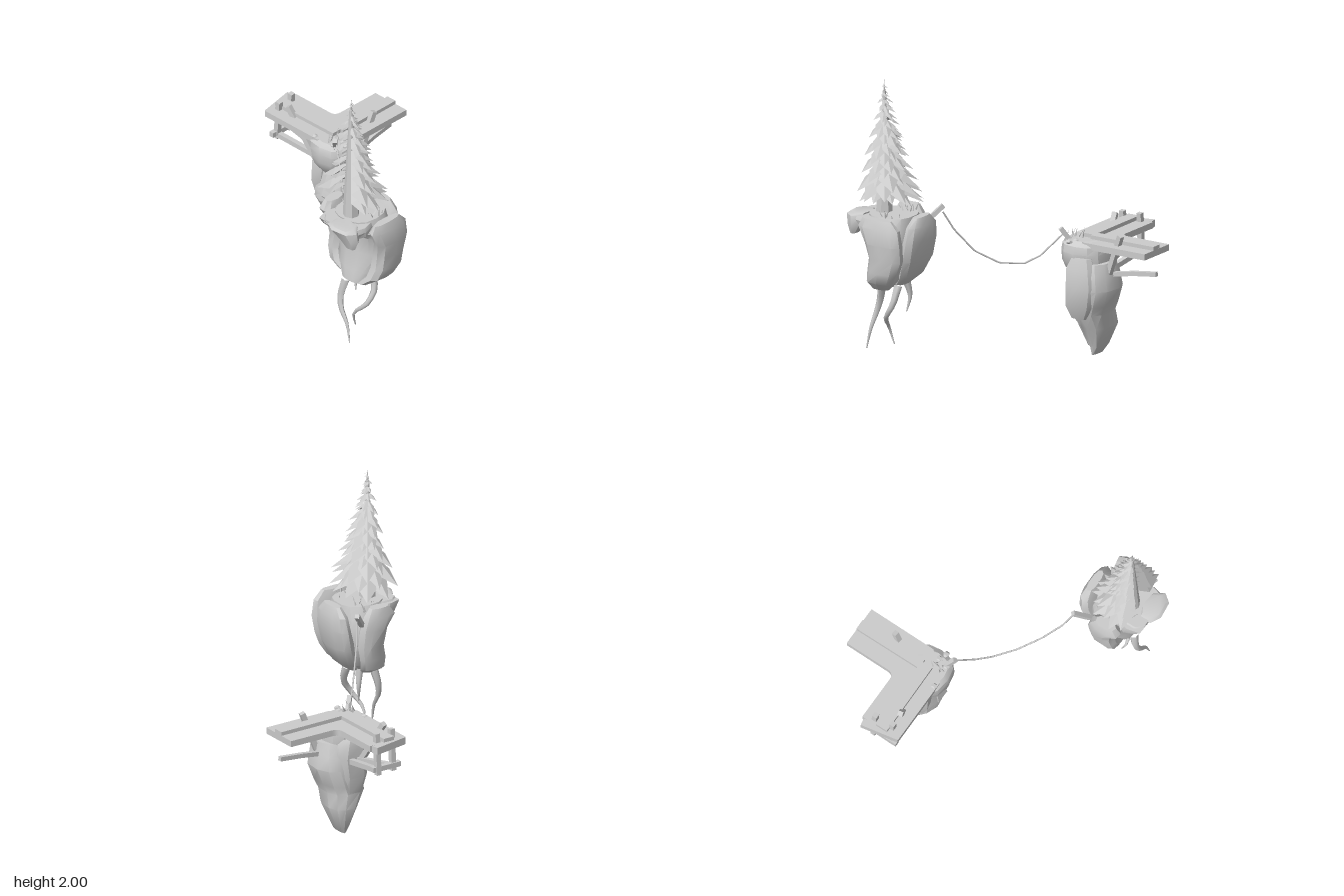
import * as THREE from 'three';
import { toCreasedNormals } from 'three/addons/utils/BufferGeometryUtils.js';

const V = (x, y, z) => new THREE.Vector3(x, y, z);

export function createModel() {
  const model = new THREE.Group();
  const solid = new THREE.MeshStandardMaterial({ color: 0xcccccc });
  const flat = new THREE.MeshStandardMaterial({ color: 0xcccccc, flatShading: true, side: THREE.DoubleSide });

  let seed = 7;
  const rand = () => (seed = (seed * 16807) % 2147483647) / 2147483647;

  const add = (name, geometry, material = solid, parent = model) => {
    const mesh = new THREE.Mesh(geometry, material);
    mesh.name = name;
    parent.add(mesh);
    return mesh;
  };

  // Closed rock through rings [y, xMin, xMax, zMin, zMax], listed bottom to top
  function rock(rings, sides = 10, rough = 0.06, square = 0.8) {
    const pos = [], index = [];
    const bend = v => Math.sign(v) * Math.abs(v) ** square;
    for (const [y, x0, x1, z0, z1] of rings) {
      for (let j = 0; j < sides; j++) {
        const a = (j / sides) * Math.PI * 2;
        const k = 1 - rough * rand();
        pos.push((x0 + x1) / 2 + bend(Math.cos(a)) * k * (x1 - x0) / 2, y,
          (z0 + z1) / 2 + bend(Math.sin(a)) * k * (z1 - z0) / 2);
      }
    }
    const last = rings.length - 1;
    for (let i = 0; i < last; i++) {
      for (let j = 0; j < sides; j++) {
        const a = i * sides + j, b = i * sides + (j + 1) % sides;
        index.push(a, a + sides, b, b, a + sides, b + sides);
      }
    }
    for (let j = 1; j < sides - 1; j++) {
      index.push(0, j, j + 1);
      index.push(last * sides, last * sides + j + 1, last * sides + j);
    }
    const g = new THREE.BufferGeometry();
    g.setAttribute('position', new THREE.Float32BufferAttribute(pos, 3));
    g.setIndex(index);
    return toCreasedNormals(g, 0.6);
  }

  // Square timber from a to b
  function beam(name, a, b, w, h = w) {
    const mesh = add(name, new THREE.BoxGeometry(w, h, a.distanceTo(b)));
    mesh.position.copy(a).lerp(b, 0.5);
    mesh.lookAt(b);
  }

  // Tube that narrows to its end
  function taperedTube(points, r0, r1, sides = 6) {
    const curve = new THREE.CatmullRomCurve3(points);
    const segs = 10;
    const g = new THREE.TubeGeometry(curve, segs, 1, sides);
    const p = g.attributes.position;
    for (let i = 0; i < p.count; i++) {
      const t = Math.floor(i / (sides + 1)) / segs;
      const c = curve.getPointAt(t);
      const v = V(p.getX(i), p.getY(i), p.getZ(i)).sub(c).multiplyScalar(r0 + (r1 - r0) * t).add(c);
      p.setXYZ(i, v.x, v.y, v.z);
    }
    g.computeVertexNormals();
    return g;
  }

  // Tree island: core with three thick lobes around it
  add('treeIslandCore', rock([
    [0.575, 0.59, 0.78, 0.54, 0.65], [0.66, 0.53, 0.83, 0.42, 0.64], [0.8, 0.48, 0.87, 0.37, 0.605],
    [0.94, 0.48, 0.88, 0.37, 0.62], [1.0, 0.48, 0.88, 0.37, 0.68], [1.09, 0.53, 0.84, 0.38, 0.7],
  ], 14, 0.02));
  add('rightLobe', rock([
    [0.6, 0.54, 0.62, 0.5, 0.62], [0.65, 0.45, 0.57, 0.45, 0.635], [0.73, 0.43, 0.54, 0.43, 0.62],
    [0.82, 0.42, 0.55, 0.42, 0.605], [0.95, 0.4, 0.54, 0.42, 0.63], [1.04, 0.4, 0.52, 0.44, 0.68],
    [1.1, 0.42, 0.5, 0.48, 0.64],
  ], 9, 0.1));
  add('leftLobe', rock([
    [0.58, 0.74, 0.82, 0.51, 0.64], [0.65, 0.79, 0.92, 0.42, 0.635], [0.73, 0.81, 0.95, 0.37, 0.62],
    [0.82, 0.81, 0.95, 0.34, 0.605], [0.93, 0.84, 0.97, 0.33, 0.62], [1.04, 0.86, 0.96, 0.34, 0.67],
    [1.1, 0.88, 0.94, 0.4, 0.64],
  ], 9, 0.08));
  add('backLobe', rock([
    [0.61, 0.6, 0.74, 0.44, 0.52], [0.68, 0.54, 0.79, 0.36, 0.48], [0.8, 0.5, 0.83, 0.305, 0.44],
    [0.94, 0.49, 0.84, 0.28, 0.4], [1.04, 0.51, 0.82, 0.28, 0.38], [1.1, 0.58, 0.76, 0.3, 0.36],
  ]));
  // Overhanging front edge with two hanging corners
  add('frontLip', rock([
    [1.01, 0.53, 0.87, 0.58, 0.75], [1.05, 0.51, 0.88, 0.55, 0.79], [1.08, 0.54, 0.86, 0.55, 0.79],
  ], 9, 0.06, 0.6));
  add('lipCorner', rock([
    [0.945, 0.52, 0.57, 0.63, 0.68], [1.0, 0.5, 0.63, 0.6, 0.74], [1.07, 0.51, 0.64, 0.58, 0.8],
  ], 6, 0.1));
  add('lipCorner', rock([
    [0.95, 0.77, 0.86, 0.74, 0.785], [1.01, 0.69, 0.88, 0.7, 0.81], [1.075, 0.62, 0.87, 0.68, 0.84],
    [1.09, 0.65, 0.84, 0.68, 0.82],
  ], 7, 0.08));

  // Hanging roots
  const roots = [
    [V(0.72, 0.6, 0.48), V(0.77, 0.48, 0.49), V(0.76, 0.38, 0.55), V(0.67, 0.28, 0.585), V(0.655, 0.17, 0.555)],
    [V(0.66, 0.58, 0.65), V(0.64, 0.45, 0.68), V(0.66, 0.37, 0.695), V(0.72, 0.27, 0.7), V(0.755, 0.14, 0.71)],
    [V(0.6, 0.62, 0.5), V(0.58, 0.5, 0.48), V(0.6, 0.39, 0.495)],
  ];
  roots.forEach(points => add('root', taperedTube(points, 0.03, 0.004)));

  // Tree: tapering trunk, drooping leaf blades fanned over the back half
  const tree = new THREE.Group();
  tree.name = 'tree';
  tree.position.set(0.68, 0, 0.62);
  model.add(tree);
  add('trunk', new THREE.CylinderGeometry(0.012, 0.058, 0.86, 7).translate(0, 1.49, 0), flat, tree);
  const leaf = new THREE.BufferGeometry();
  leaf.setAttribute('position', new THREE.Float32BufferAttribute(
    [0, 0, 0, -0.5, -0.55, 0.5, 0, -0.4, 0.55, 0.5, -0.55, 0.5, 0, -0.85, 1], 3));
  leaf.setIndex([0, 1, 2, 0, 2, 3, 1, 4, 2, 2, 4, 3]);
  leaf.computeVertexNormals();
  const tiers = 15;
  for (let i = 0; i < tiers; i++) {
    const t = i / (tiers - 1);
    const reach = 0.24 * (1 - t) + 0.025;
    const count = i < 10 ? 7 : 5;
    for (let j = 0; j < count; j++) {
      const spread = (j + (i % 2 ? 0.3 : -0.3)) / (count - 1) - 0.5;
      const blade = add('leaf', leaf, flat, tree);
      blade.position.y = 1.35 + 0.6 * t + 0.03 * rand();
      blade.rotation.y = Math.PI + spread * 3.4;
      const s = reach * (0.78 + 0.3 * rand());
      blade.scale.set(s * 0.55, s * 0.9, s);
    }
  }
  add('treeTip', new THREE.ConeGeometry(0.014, 0.14, 5).translate(0, 1.93, 0), flat, tree);

  // Rope sagging between two stakes
  const ropePath = new THREE.CurvePath();
  const knots = [V(0.4, 1.06, 0.34), V(0.335, 0.93, 0.295), V(0.23, 0.77, 0.2), V(0.1, 0.675, 0.09),
    V(-0.03, 0.655, -0.02), V(-0.12, 0.7, -0.09), V(-0.25, 0.83, -0.18)];
  for (let i = 0; i < knots.length - 1; i++) ropePath.add(new THREE.LineCurve3(knots[i], knots[i + 1]));
  add('rope', new THREE.TubeGeometry(ropePath, 36, 0.006, 5));
  beam('stake', V(0.395, 1.1, 0.34), V(0.47, 0.99, 0.43), 0.03);
  beam('stake', V(-0.25, 0.87, -0.165), V(-0.3, 0.77, -0.22), 0.03);

  // Platform island: body, rounded cap and overlapping boulders
  add('platformIsland', rock([
    [0, -0.47, -0.34, -0.37, -0.34], [0.06, -0.51, -0.33, -0.41, -0.32], [0.2, -0.56, -0.26, -0.47, -0.26],
    [0.3, -0.55, -0.22, -0.47, -0.19], [0.36, -0.55, -0.2, -0.5, -0.19], [0.48, -0.55, -0.18, -0.54, -0.22],
    [0.58, -0.53, -0.19, -0.52, -0.24], [0.66, -0.5, -0.22, -0.5, -0.22],
  ], 11, 0.06));
  add('platformIslandCap', rock([
    [0.53, -0.48, -0.27, -0.45, -0.21], [0.6, -0.51, -0.23, -0.47, -0.155], [0.65, -0.53, -0.21, -0.47, -0.14],
    [0.72, -0.54, -0.2, -0.47, -0.13], [0.77, -0.54, -0.21, -0.46, -0.14], [0.8, -0.5, -0.25, -0.42, -0.17],
  ], 12, 0.03));
  add('sideBoulder', rock([
    [0.27, -0.29, -0.22, -0.38, -0.25], [0.36, -0.3, -0.18, -0.44, -0.21], [0.5, -0.32, -0.16, -0.47, -0.22],
    [0.62, -0.31, -0.175, -0.45, -0.22], [0.7, -0.28, -0.2, -0.42, -0.26],
  ], 8, 0.06));
  add('sideBoulder', rock([
    [0.3, -0.54, -0.46, -0.4, -0.24], [0.42, -0.57, -0.42, -0.44, -0.2], [0.56, -0.565, -0.4, -0.46, -0.2],
    [0.66, -0.57, -0.42, -0.44, -0.22], [0.7, -0.55, -0.45, -0.4, -0.25],
  ], 7, 0.08));
  add('frontRidge', rock([
    [0.06, -0.42, -0.34, -0.36, -0.31], [0.22, -0.43, -0.29, -0.34, -0.24], [0.35, -0.44, -0.27, -0.34, -0.18],
    [0.5, -0.42, -0.28, -0.36, -0.21], [0.58, -0.4, -0.3, -0.36, -0.24],
  ], 6, 0.08));

  // L-shaped deck with a rounded inner corner
  const deck = new THREE.Shape();
  deck.moveTo(-0.91, 0.17);
  deck.lineTo(-0.42, 0.17);
  deck.lineTo(-0.25, 0.34);
  deck.lineTo(-0.25, 0.84);
  deck.lineTo(-0.54, 0.84);
  deck.lineTo(-0.54, 0.51);
  deck.quadraticCurveTo(-0.54, 0.46, -0.59, 0.46);
  deck.lineTo(-0.91, 0.46);
  add('deck', toCreasedNormals(new THREE.ExtrudeGeometry(deck, { depth: 0.043, bevelEnabled: false, curveSegments: 5 })
    .rotateX(-Math.PI / 2).translate(0, 0.757, 0), 0.6));
  beam('deckPlank', V(-0.91, 0.81, -0.305), V(-0.37, 0.81, -0.31), 0.085, 0.032);
  beam('deckPlank', V(-0.385, 0.81, -0.34), V(-0.39, 0.81, -0.84), 0.075, 0.032);

  // Supports under the deck
  beam('crossBeam', V(-0.94, 0.775, -0.44), V(-0.89, 0.775, -0.18), 0.05);
  for (const [x, z] of [[-0.87, -0.38], [-0.855, -0.25]]) {
    beam('post', V(x - 0.02, 0.57, z), V(x, 0.86, z), 0.035);
  }
  beam('lowerBeam', V(-0.88, 0.6, -0.25), V(-0.5, 0.54, -0.31), 0.035);
  beam('lowerBeam', V(-0.88, 0.6, -0.38), V(-0.5, 0.54, -0.36), 0.035);
  beam('lowerCrossBeam', V(-0.88, 0.61, -0.42), V(-0.88, 0.61, -0.2), 0.035);
  beam('strut', V(-0.77, 0.865, -0.25), V(-0.54, 0.5, -0.3), 0.035);
  beam('strut', V(-0.32, 0.87, -0.6), V(-0.34, 0.55, -0.48), 0.035);
  beam('lowerBeam', V(-0.4, 0.625, -0.835), V(-0.39, 0.605, -0.66), 0.03);
  beam('lowerBeam', V(-0.39, 0.605, -0.66), V(-0.37, 0.57, -0.46), 0.03);

  // Grass tufts and pebbles
  const tuft = (x, y, z, n, spread) => {
    for (let i = 0; i < n; i++) {
      const h = 0.05 + 0.05 * rand();
      const blade = add('grassBlade', new THREE.ConeGeometry(0.009, h, 3).translate(0, h / 2, 0), flat);
      blade.position.set(x + (rand() - 0.5) * spread, y, z + (rand() - 0.5) * spread);
      blade.rotation.set((rand() - 0.5) * 0.9, rand() * 3, (rand() - 0.5) * 0.9);
    }
  };
  tuft(0.57, 1.06, 0.52, 10, 0.13);
  tuft(0.8, 1.06, 0.5, 6, 0.1);
  tuft(-0.32, 0.78, -0.22, 10, 0.1);
  for (const [x, z] of [[-0.46, -0.19], [-0.3, -0.2], [-0.28, -0.27], [-0.23, -0.25]]) {
    add('pebble', new THREE.DodecahedronGeometry(0.024).scale(1, 0.7, 1).translate(x, 0.795, z), flat);
  }
  return model;
}
